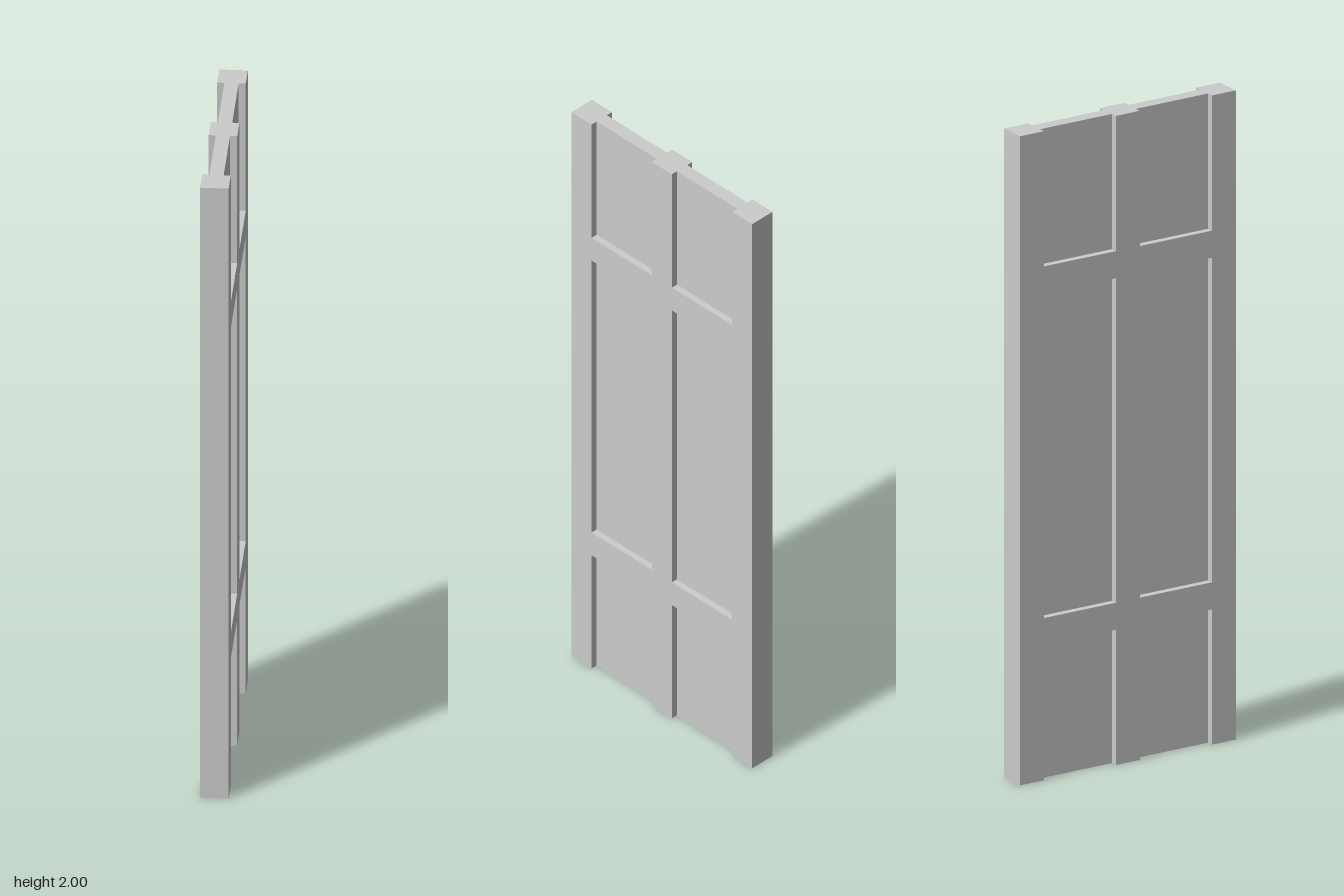
import * as THREE from 'three';

const U = 1 / 24; // design unit: half the door thickness
const H = 2, HALF_W = 9 * U, INNER = U, OUTER = 7 * U;
const LOW = 10 * U, LOW_TOP = 12 * U, HIGH = 36 * U, HIGH_TOP = 38 * U;

export function createModel() {
  const door = new THREE.Group();
  door.name = 'door';
  const material = new THREE.MeshStandardMaterial({ color: 0xcccccc, flatShading: true });
  const points = (list) => list.map(([x, y]) => new THREE.Vector2(x, y));

  // Stiles and rails in one piece, notched at the top and bottom panels
  const outline = new THREE.Shape(points([
    [-HALF_W, 0], [-OUTER, 0], [-OUTER, LOW], [-INNER, LOW], [-INNER, 0],
    [INNER, 0], [INNER, LOW], [OUTER, LOW], [OUTER, 0], [HALF_W, 0],
    [HALF_W, H], [OUTER, H], [OUTER, HIGH_TOP], [INNER, HIGH_TOP], [INNER, H],
    [-INNER, H], [-INNER, HIGH_TOP], [-OUTER, HIGH_TOP], [-OUTER, H], [-HALF_W, H],
  ]));
  // Openings for the two tall middle panels
  for (const [a, b] of [[-OUTER, -INNER], [INNER, OUTER]]) {
    outline.holes.push(new THREE.Path(points([[a, LOW_TOP], [a, HIGH], [b, HIGH], [b, LOW_TOP]])));
  }
  const frameGeometry = new THREE.ExtrudeGeometry(outline, { depth: 2 * U, bevelEnabled: false });
  frameGeometry.translate(0, 0, -U).rotateY(Math.PI / 2);
  const frame = new THREE.Mesh(frameGeometry, material);
  frame.name = 'frame';
  door.add(frame);

  // Recessed panels, half as thick as the frame
  const rows = [['lowerPanel', 0, LOW], ['middlePanel', LOW_TOP, HIGH], ['upperPanel', HIGH_TOP, H]];
  for (const [name, y0, y1] of rows) {
    for (const side of [-1, 1]) {
      const panel = new THREE.Mesh(new THREE.BoxGeometry(U, y1 - y0, OUTER - INNER), material);
      panel.position.set(0, (y0 + y1) / 2, side * (INNER + OUTER) / 2);
      panel.name = name + (side > 0 ? 'Front' : 'Back');
      door.add(panel);
    }
  }
  return door;
}
